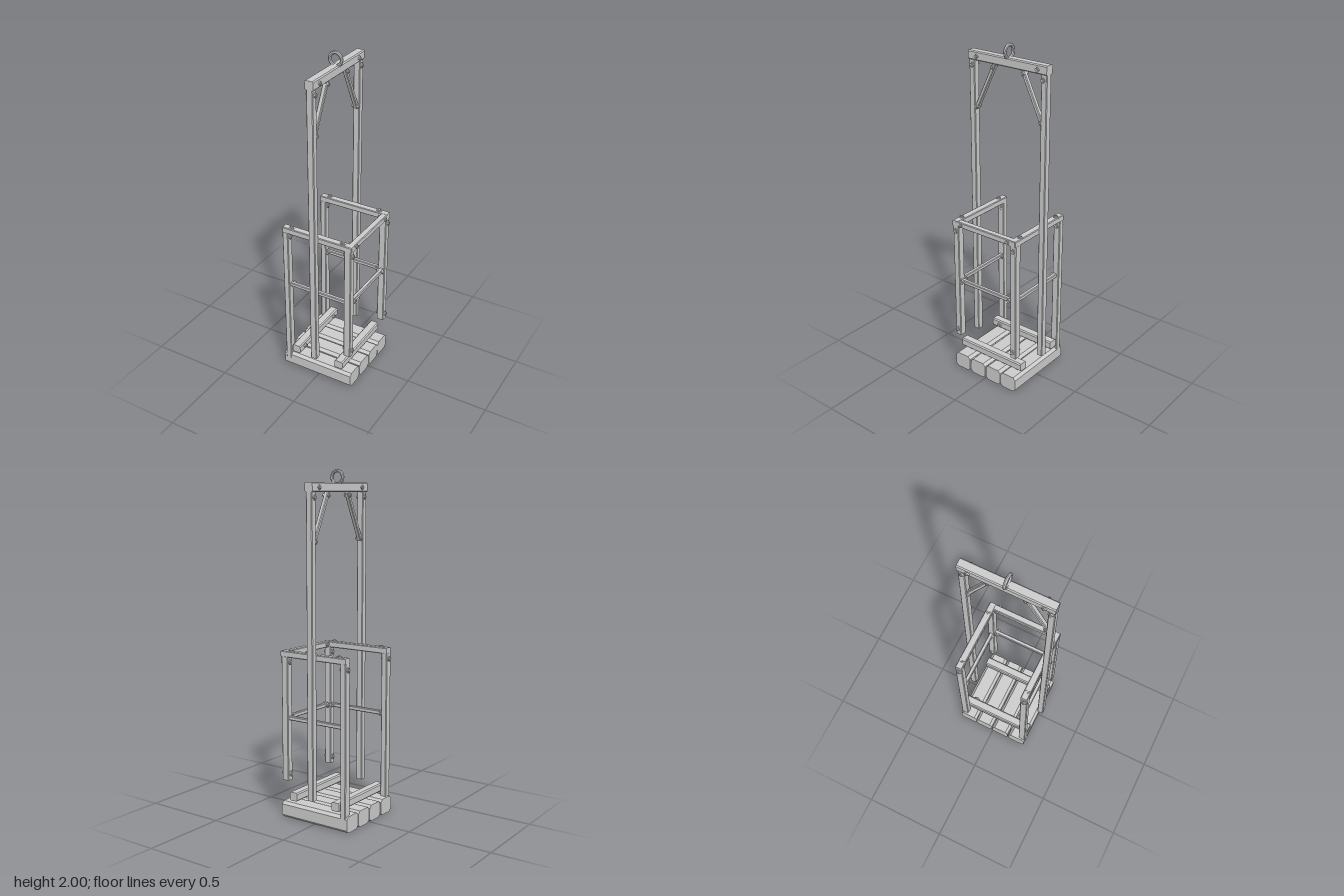
import * as THREE from 'three';

const material = new THREE.MeshStandardMaterial({ color: 0xcccccc, flatShading: true });

// Chamfered timber running between two points
function bar(group, name, from, to, w, h, c = 0.004) {
  const x = w / 2, y = h / 2;
  const section = new THREE.Shape([
    [x - c, -y], [x, -y + c], [x, y - c], [x - c, y],
    [-x + c, y], [-x, y - c], [-x, -y + c], [-x + c, -y],
  ].map(([px, py]) => new THREE.Vector2(px, py)));
  const a = new THREE.Vector3(...from), b = new THREE.Vector3(...to);
  const geometry = new THREE.ExtrudeGeometry(section, { depth: a.distanceTo(b), bevelEnabled: false });
  const mesh = new THREE.Mesh(geometry, material);
  mesh.name = name;
  mesh.position.copy(a);
  mesh.lookAt(b);
  group.add(mesh);
}

// Square washer turned as a diamond, with a smaller nut, facing along dir
function bolt(group, at, dir, size = 0.024) {
  const g = new THREE.Group();
  g.name = 'bolt';
  const washer = new THREE.Mesh(new THREE.BoxGeometry(size, size, 0.012), material);
  const nut = new THREE.Mesh(new THREE.BoxGeometry(size * 0.55, size * 0.55, 0.022), material);
  washer.name = 'washer';
  nut.name = 'nut';
  washer.rotation.z = nut.rotation.z = Math.PI / 4;
  g.add(washer, nut);
  g.position.set(...at);
  g.lookAt(at[0] + dir[0], at[1] + dir[1], at[2] + dir[2]);
  group.add(g);
}

// Bolt heads on both x faces of a timber
function boltThroughX(group, x, half, y, z, size) {
  for (const s of [-1, 1]) bolt(group, [x + s * half, y, z], [s, 0, 0], size);
}

export function createModel() {
  const root = new THREE.Group();
  root.name = 'liftingPlatform';
  const deck = new THREE.Group(), frame = new THREE.Group(), railing = new THREE.Group();
  deck.name = 'deck';
  frame.name = 'hangingFrame';
  railing.name = 'railing';
  root.add(deck, frame, railing);

  // Deck planks and the two bearers on top
  for (const z of [-0.174, -0.061, 0.055, 0.173]) {
    bar(deck, 'plank', [-0.235, 0.05, z], [0.226, 0.05, z], 0.11, 0.096, 0.016);
  }
  for (const x of [-0.152, 0.144]) {
    bar(deck, 'bearer', [x, 0.14, -0.225], [x, 0.14, 0.225], 0.054, 0.05, 0.007);
  }
  for (const s of [-1, 1]) bolt(deck, [-0.122, 0.14, s * 0.17], [1, 0, 0]);

  // Tall hanging frame
  const cx = -0.006;
  bar(frame, 'topBeam', [cx, 1.9, -0.265], [cx, 1.9, 0.265], 0.052, 0.052, 0.006);
  for (const s of [-1, 1]) {
    bar(frame, 'tallPost', [cx, 0.155, s * 0.244], [cx, 1.88, s * 0.244], 0.04, 0.038);
    bar(frame, 'brace', [cx, 1.6, s * 0.225], [cx, 1.872, s * 0.094], 0.026, 0.022);
    boltThroughX(frame, cx, 0.027, 1.898, s * 0.205, 0.02);
    boltThroughX(frame, cx, 0.021, 1.845, s * 0.24, 0.022);
    boltThroughX(frame, cx, 0.014, 1.855, s * 0.103, 0.018);
    boltThroughX(frame, cx, 0.014, 1.608, s * 0.22, 0.018);
  }

  // Lifting ring
  const ring = new THREE.Mesh(new THREE.TorusGeometry(0.036, 0.0095, 8, 20), material);
  ring.name = 'liftingRing';
  ring.position.set(cx, 1.9545, 0);
  frame.add(ring);

  // Railing sides
  for (const s of [-1, 1]) {
    const z = s * 0.207;
    bar(railing, 'longPost', [-0.205, 0.05, z], [-0.205, 0.958, z], 0.037, 0.044);
    bar(railing, 'shortPost', [0.2, 0.23, z], [0.2, 0.958, z], 0.044, 0.04);
    bar(railing, 'sideTopRail', [-0.222, 0.972, z], [0.225, 0.972, z], 0.042, 0.036);
    bar(railing, 'sideMidRail', [-0.19, 0.6, s * 0.203], [0.185, 0.6, s * 0.203], 0.024, 0.024);
    for (const x of [-0.17, 0.164]) bolt(railing, [x, 0.988, s * 0.21], [0, 1, 0], 0.026);
    for (const x of [-0.176, 0.17]) bolt(railing, [x, 0.6, s * 0.19], [0, 0, -s], 0.022);
    boltThroughX(railing, -0.205, 0.019, 0.925, z);
    boltThroughX(railing, 0.2, 0.023, 0.925, z);
    boltThroughX(railing, 0.2, 0.023, 0.27, z);
    boltThroughX(railing, 0.207, 0.018, 0.972, s * 0.168, 0.022);
    boltThroughX(railing, 0.203, 0.014, 0.6, s * 0.173, 0.022);
  }

  // Railing end
  bar(railing, 'endTopRail', [0.207, 0.972, -0.222], [0.207, 0.972, 0.222], 0.037, 0.034);
  bar(railing, 'endMidRail', [0.203, 0.6, -0.19], [0.203, 0.6, 0.19], 0.024, 0.024);

  return root;
}
